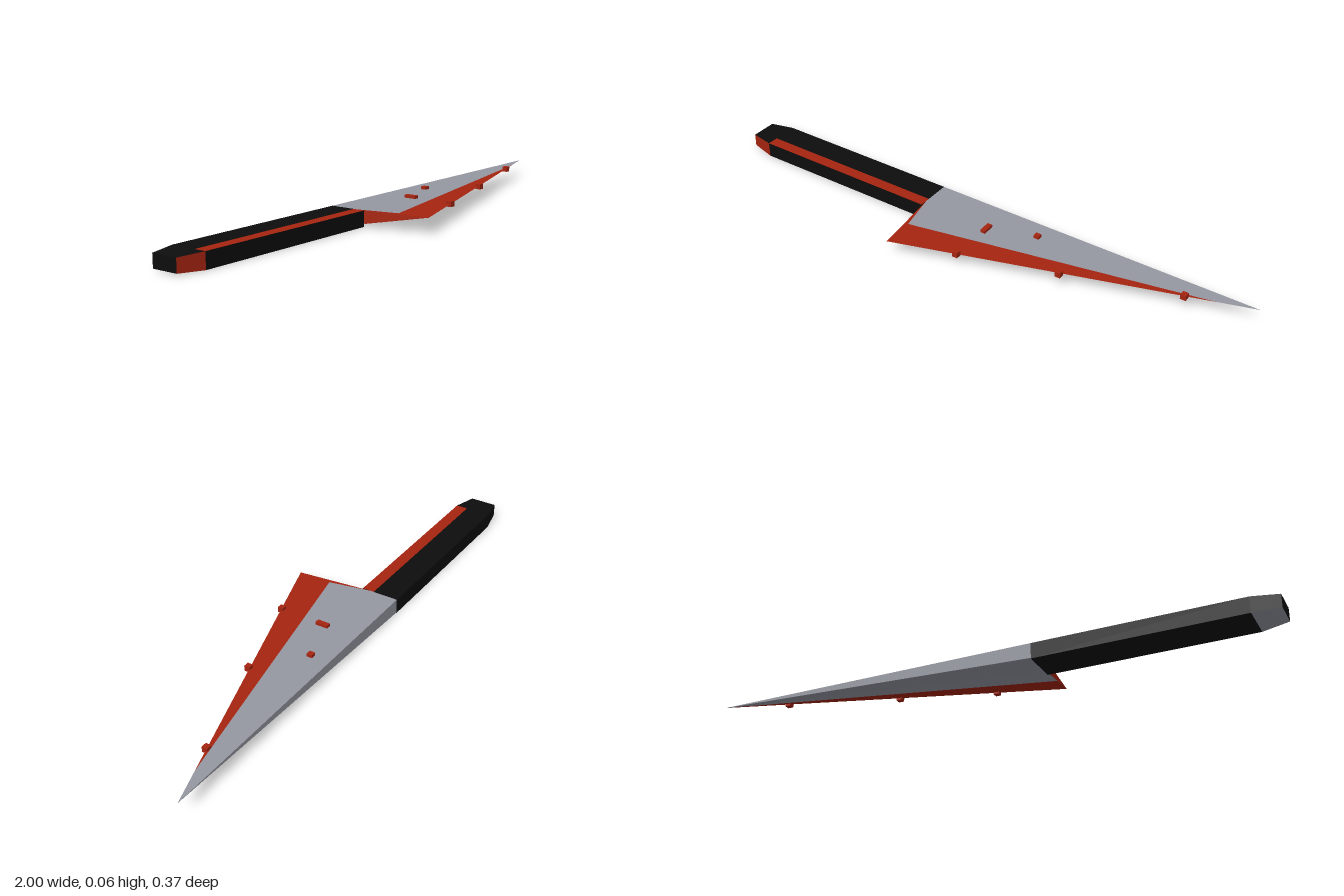
import * as THREE from 'three';

const material = (name, color) => {
  const m = new THREE.MeshStandardMaterial({ color });
  m.name = name;
  return m;
};

// Flat convex face, fanned from its first corner and turned away from the part's centre
function face(group, name, mat, centre, corners) {
  const p = corners.map((c) => new THREE.Vector3(...c));
  const pos = [];
  for (let i = 1; i < p.length - 1; i++) {
    const [a, b, c] = [p[0], p[i], p[i + 1]];
    const n = b.clone().sub(a).cross(c.clone().sub(a));
    const outward = n.dot(a.clone().sub(centre)) > 0;
    for (const v of outward ? [a, b, c] : [a, c, b]) pos.push(v.x, v.y, v.z);
  }
  const g = new THREE.BufferGeometry();
  g.setAttribute('position', new THREE.Float32BufferAttribute(pos, 3));
  g.computeVertexNormals();
  const mesh = new THREE.Mesh(g, mat);
  mesh.name = name;
  group.add(mesh);
}

export function createModel() {
  const steel = material('steel', 0x9698a2);
  const black = material('black', 0x0d0d0d);
  const red = material('red', 0xa52410);
  const model = new THREE.Group();
  model.name = 'knife';

  // Blade: flat top, tapering underside, sharp front edge
  const blade = new THREE.Group();
  blade.name = 'blade';
  const bc = new THREE.Vector3(0.1, 0.042, -0.08);
  const tip = [1, 0.055, -0.187];
  const spineTop = [-0.2, 0.055, -0.187], spineLow = [-0.2, 0.002, -0.187];
  const neckTop = [-0.2, 0.055, -0.08], neckLow = [-0.2, 0.01, -0.05];
  const heel = [-0.17, 0.055, 0.187], heelLow = [-0.185, 0.0325, 0.0685];
  const stainCorner = [-0.17, 0.055, 0.067], stainEnd = [0.87, 0.055, -0.1454];
  face(blade, 'bladeTop', steel, bc, [spineTop, neckTop, stainCorner, stainEnd, tip]);
  face(blade, 'edgeTop', red, bc, [stainCorner, neckTop, heel, stainEnd]);
  face(blade, 'spine', steel, bc, [spineTop, tip, spineLow]);
  face(blade, 'bladeUnderside', steel, bc, [tip, spineLow, neckLow, heelLow]);
  face(blade, 'edgeUnderside', red, bc, [tip, heelLow, heel]);
  face(blade, 'bladeNeck', steel, bc, [spineTop, spineLow, neckLow, neckTop]);
  face(blade, 'heel', red, bc, [heel, neckTop, neckLow, heelLow]);
  model.add(blade);

  // Handle: square bar with a tapered end
  const handle = new THREE.Group();
  handle.name = 'handle';
  const hc = new THREE.Vector3(-0.6, 0.028, -0.12);
  // corners in order: top back, top front, bottom front, bottom back
  const ring = (x, y0, y1, back, front) =>
    [[x, y1, back], [x, y1, front], [x, y0, front], [x, y0, back]];
  const a = ring(-0.2, 0, 0.055, -0.187, -0.052);
  const b = ring(-0.91, 0, 0.055, -0.187, -0.052);
  const c = ring(-1, 0.005, 0.051, -0.17, -0.073);
  const sides = ['Top', 'Front', 'Bottom', 'Back'];
  const endMats = [black, red, steel, black];
  sides.forEach((side, i) => {
    const j = (i + 1) % 4;
    if (i > 0) face(handle, 'handle' + side, black, hc, [a[i], a[j], b[j], b[i]]);
    face(handle, 'end' + side, endMats[i], hc, [b[i], b[j], c[j], c[i]]);
  });
  const splitA = [-0.2, 0.055, -0.095], splitB = [-0.91, 0.055, -0.095];
  face(handle, 'handleTop', black, hc, [a[0], splitA, splitB, b[0]]);
  face(handle, 'handleStripe', red, hc, [splitA, a[1], b[1], splitB]);
  face(handle, 'handleCap', black, hc, c);
  face(handle, 'handleNeck', black, hc, a);
  model.add(handle);

  // Drops: x, z, width, depth, bottom height
  const drops = [
    [0.06, 0.111, 0.02, 0.02, 0.046],
    [0.392, 0.011, 0.02, 0.02, 0.046],
    [0.775, -0.115, 0.02, 0.02, 0.046],
    [0.067, -0.057, 0.018, 0.046, 0.05],
    [0.232, -0.118, 0.02, 0.02, 0.05],
  ];
  for (const [x, z, w, d, y] of drops) {
    const drop = new THREE.Mesh(new THREE.BoxGeometry(w, 0.065 - y, d), red);
    drop.position.set(x, (0.065 + y) / 2, z);
    drop.name = 'drop';
    model.add(drop);
  }
  return model;
}
